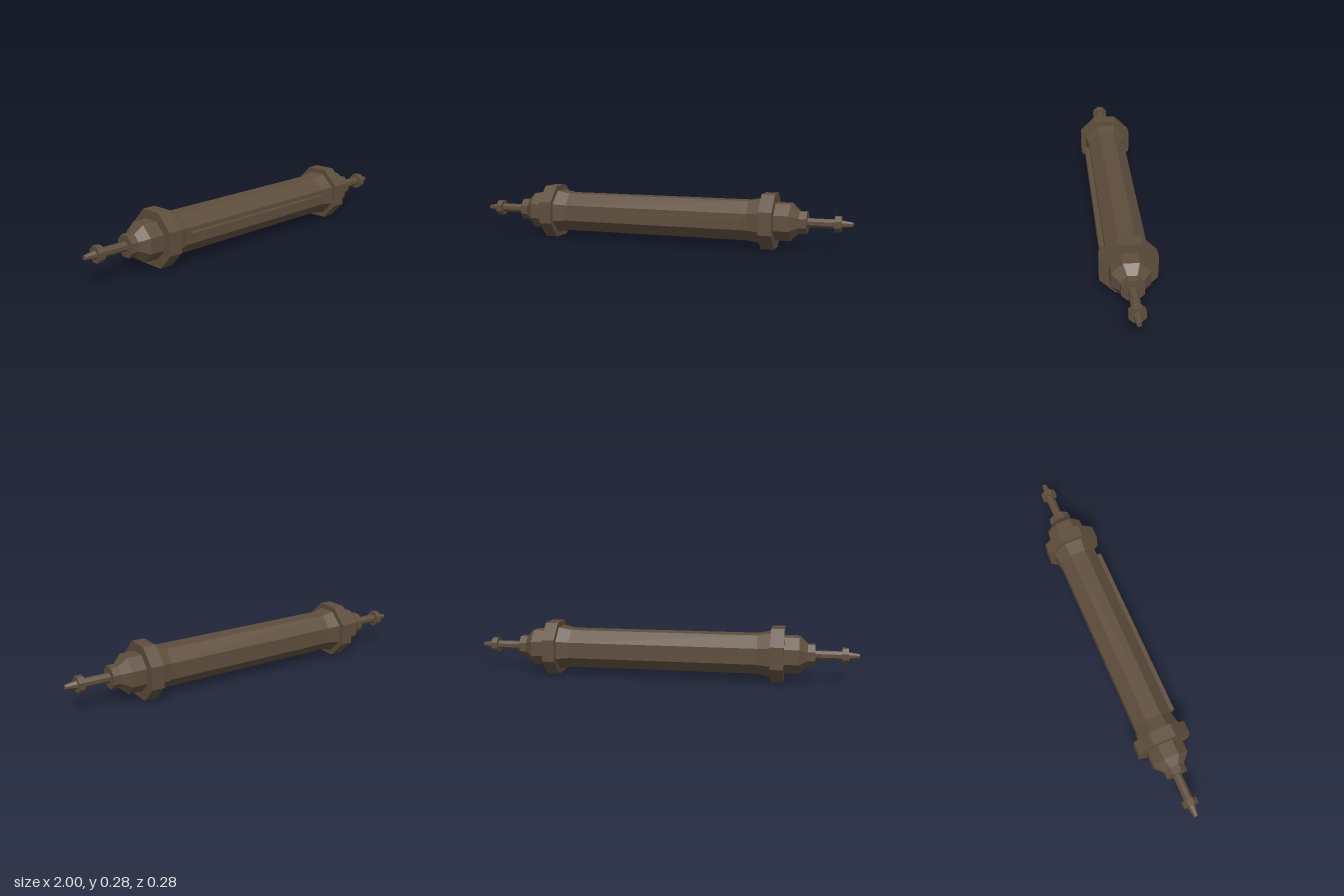
import * as THREE from 'three';

const bronze = new THREE.MeshStandardMaterial({ color: 0x5e4d3c, flatShading: true });
bronze.name = 'dark bronze';

// Eight-sided solid along x from [x, half width across flats] pairs
function octagonal(name, profile) {
  const k = 1 / Math.cos(Math.PI / 8);
  const points = profile.map(([x, r]) => new THREE.Vector2(r * k, x));
  const geometry = new THREE.LatheGeometry(points, 8, Math.PI / 8);
  geometry.rotateZ(-Math.PI / 2);
  const mesh = new THREE.Mesh(geometry, bronze);
  mesh.name = name;
  return mesh;
}

// Everything at one end, pointing along +x
function createEnd(name) {
  const end = new THREE.Group();
  end.name = name;
  end.add(
    octagonal('collar', [[0.558, 0], [0.558, 0.137], [0.625, 0.137], [0.625, 0]]),
    octagonal('endCap', [[0.62, 0], [0.62, 0.092], [0.70, 0.092], [0.742, 0.054], [0.742, 0]]),
    octagonal('neckRing', [[0.735, 0], [0.735, 0.054], [0.78, 0.054], [0.78, 0]]),
    octagonal('rod', [[0.775, 0], [0.775, 0.022], [0.92, 0.022], [0.92, 0]]),
    octagonal('rodFlange', [[0.913, 0], [0.913, 0.039], [0.944, 0.039], [0.944, 0]]),
    octagonal('tip', [[0.94, 0], [0.94, 0.02], [1, 0.011], [1, 0]])
  );
  return end;
}

export function createModel() {
  const model = new THREE.Group();
  model.name = 'octagonalCylinder';

  // Main barrel, flared toward both collars
  model.add(octagonal('barrel', [
    [-0.56, 0], [-0.56, 0.112], [-0.49, 0.099], [0.49, 0.099], [0.56, 0.112], [0.56, 0]
  ]));

  // Matching ends
  const leftEnd = createEnd('leftEnd');
  const rightEnd = createEnd('rightEnd');
  rightEnd.rotation.y = Math.PI;
  model.add(leftEnd, rightEnd);

  // Raised rail on the front flat
  const rail = new THREE.Mesh(new THREE.BoxGeometry(0.95, 0.04, 0.04), bronze);
  rail.name = 'frontRail';
  rail.position.set(0, 0, 0.104);
  model.add(rail);

  // Slight roll about the long axis
  model.rotation.x = -0.015;
  model.position.y = 0.138;

  const root = new THREE.Group();
  root.name = 'model';
  root.add(model);
  return root;
}
